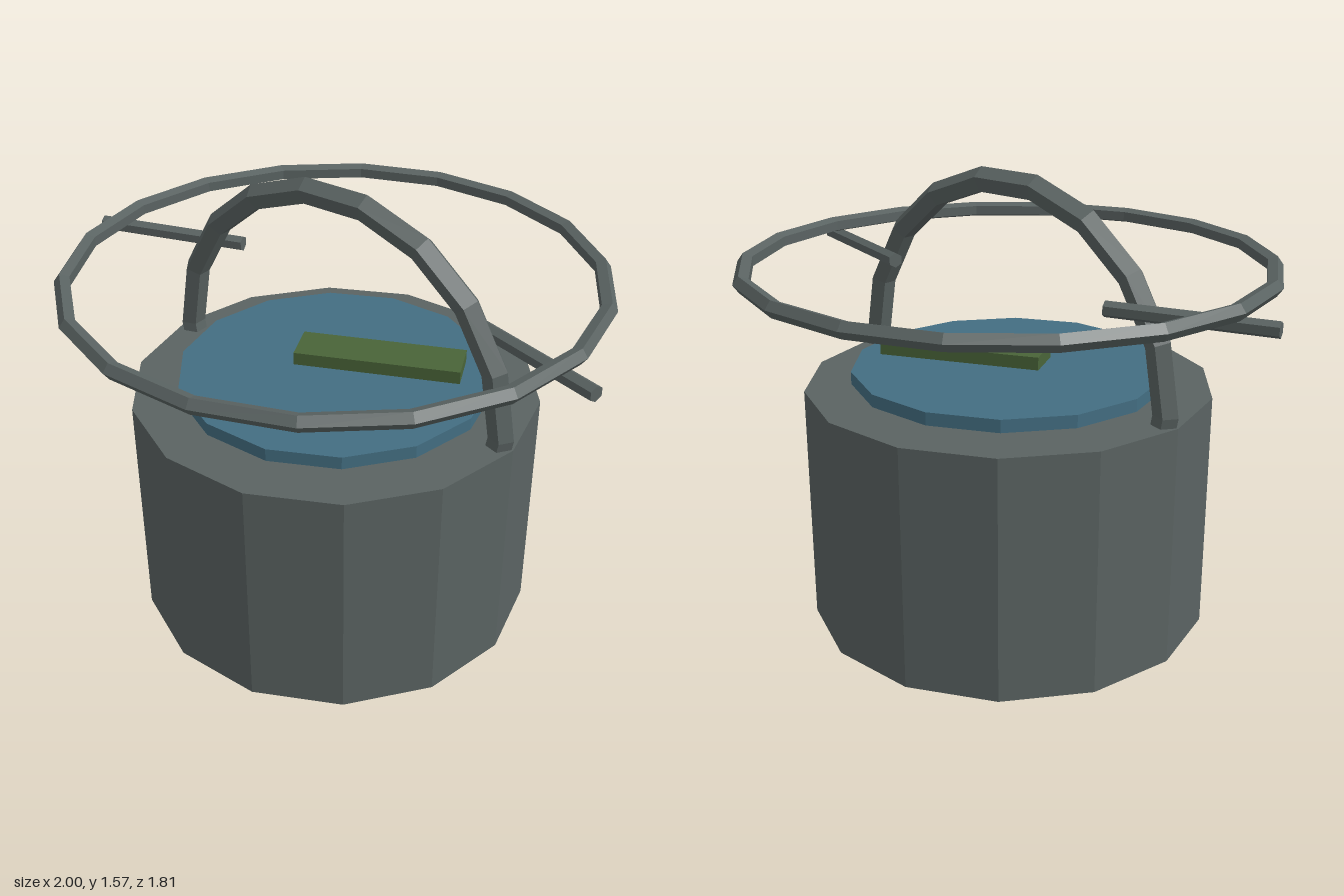
import * as THREE from 'three';

export function createModel() {
  const model = new THREE.Group();
  const material = (name, color) => {
    const m = new THREE.MeshStandardMaterial({ color, flatShading: true });
    m.name = name;
    return m;
  };
  const iron = material('dark iron', 0x5a6362);
  const water = material('water blue', 0x436e82);
  const leaf = material('leaf green', 0x496438);

  const add = (name, geometry, mat, x, y, z) => {
    const mesh = new THREE.Mesh(geometry, mat);
    mesh.name = name;
    mesh.position.set(x, y, z);
    model.add(mesh);
    return mesh;
  };
  // 14-sided disc with a corner on the x axis
  const drum = (radius, height) =>
    new THREE.CylinderGeometry(radius, radius, height, 14).rotateY(Math.PI / 2);

  // Bucket body and its contents
  add('bucket', drum(0.705, 0.84), iron, 0, 0.42, 0);
  add('waterDisc', drum(0.545, 0.044), water, 0, 0.879, 0);
  add('floatingBar', new THREE.BoxGeometry(0.573, 0.045, 0.152), leaf, 0.128, 0.943, -0.084)
    .rotation.y = 0.41;

  // Carrying handle: arc whose ends sink into the bucket
  const step = Math.PI / 9;
  add('handle', new THREE.TorusGeometry(0.66, 0.045, 5, 11, 11 * step).rotateZ(-step),
    iron, 0, 0.873, 0);

  // Level ring around the handle
  add('outerRing', new THREE.TorusGeometry(0.89, 0.029, 5, 18).rotateX(-Math.PI / 2),
    iron, 0, 1.257, 0);

  // Slanted side rods, mirrored
  for (const side of [1, -1]) {
    const rod = new THREE.CylinderGeometry(0.027, 0.027, 0.55, 6, 1, false, Math.PI / 2)
      .rotateZ(Math.PI / 2);
    add(side > 0 ? 'leftRod' : 'rightRod', rod, iron, side * 0.73, 1.203, 0)
      .rotation.y = -side * 0.3;
  }
  return model;
}
